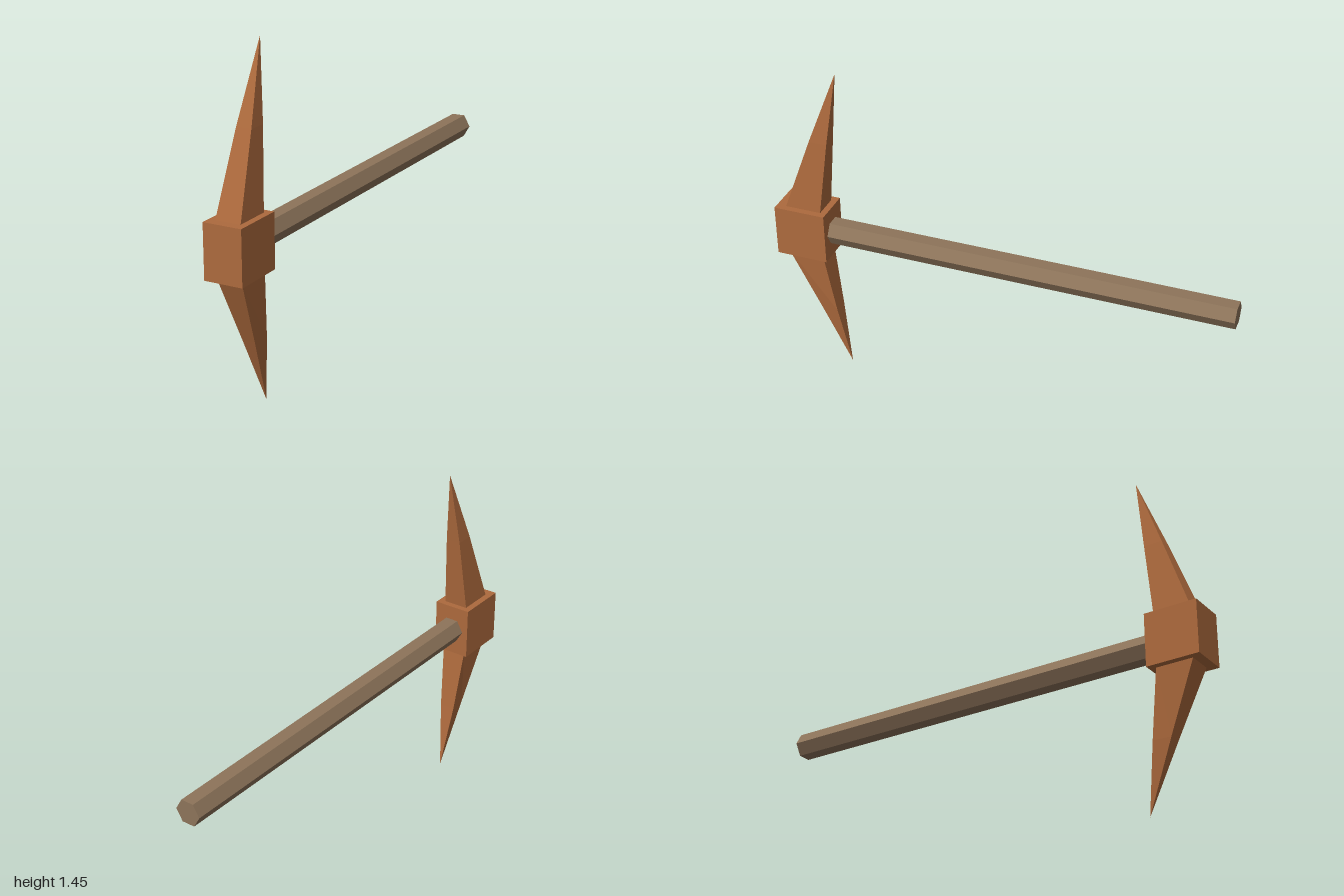
import * as THREE from 'three';

const copper = new THREE.MeshStandardMaterial({ color: 0xad6a3d, flatShading: true });
copper.name = 'copper';
const wood = new THREE.MeshStandardMaterial({ color: 0x8d745a, flatShading: true });
wood.name = 'wood';

// Faceted spike: rectangular rings [y, zBack, zFront, halfBack, halfFront] closing to a tip
function spike(name, rings, tip) {
  const pos = [];
  const up = tip[1] > rings[0][0];
  const tri = (a, b, c) => pos.push(...a, ...(up ? b : c), ...(up ? c : b));
  const loops = rings.map(([y, zb, zf, hb, hf]) =>
    [[-hf, y, zf], [hf, y, zf], [hb, y, zb], [-hb, y, zb]]);
  for (let i = 0; i < 4; i++) {
    const j = (i + 1) % 4;
    for (let k = 0; k < loops.length - 1; k++) {
      const a = loops[k], b = loops[k + 1];
      tri(a[i], a[j], b[j]);
      tri(a[i], b[j], b[i]);
    }
    const last = loops[loops.length - 1];
    tri(last[i], last[j], tip);
  }
  const geo = new THREE.BufferGeometry();
  geo.setAttribute('position', new THREE.Float32BufferAttribute(pos, 3));
  geo.computeVertexNormals();
  const mesh = new THREE.Mesh(geo, copper);
  mesh.name = name;
  return mesh;
}

export function createModel() {
  const group = new THREE.Group();
  group.name = 'pickaxe';

  // Hexagonal shaft along z, flats facing up and down
  const shaftGeo = new THREE.CylinderGeometry(0.057, 0.057, 1.8, 6);
  shaftGeo.rotateY(Math.PI / 2);
  shaftGeo.rotateX(Math.PI / 2);
  const shaft = new THREE.Mesh(shaftGeo, wood);
  shaft.name = 'handle';
  shaft.position.set(0, 0.69, -0.1);
  group.add(shaft);

  // Block joining the spikes to the handle
  const block = new THREE.Mesh(new THREE.BoxGeometry(0.166, 0.228, 0.228), copper);
  block.name = 'headBlock';
  block.position.set(0, 0.689, 0.886);
  group.add(block);

  // Spikes sweeping back towards the handle
  group.add(spike('upperSpike',
    [[0.8, 0.8, 0.96, 0.055, 0.055], [1.13, 0.76, 0.84, 0.033, 0.033]], [0, 1.452, 0.717]));
  group.add(spike('lowerSpike',
    [[0.577, 0.8, 0.96, 0.055, 0.055], [0.29, 0.76, 0.837, 0.034, 0.028]], [0, 0, 0.717]));

  return group;
}
